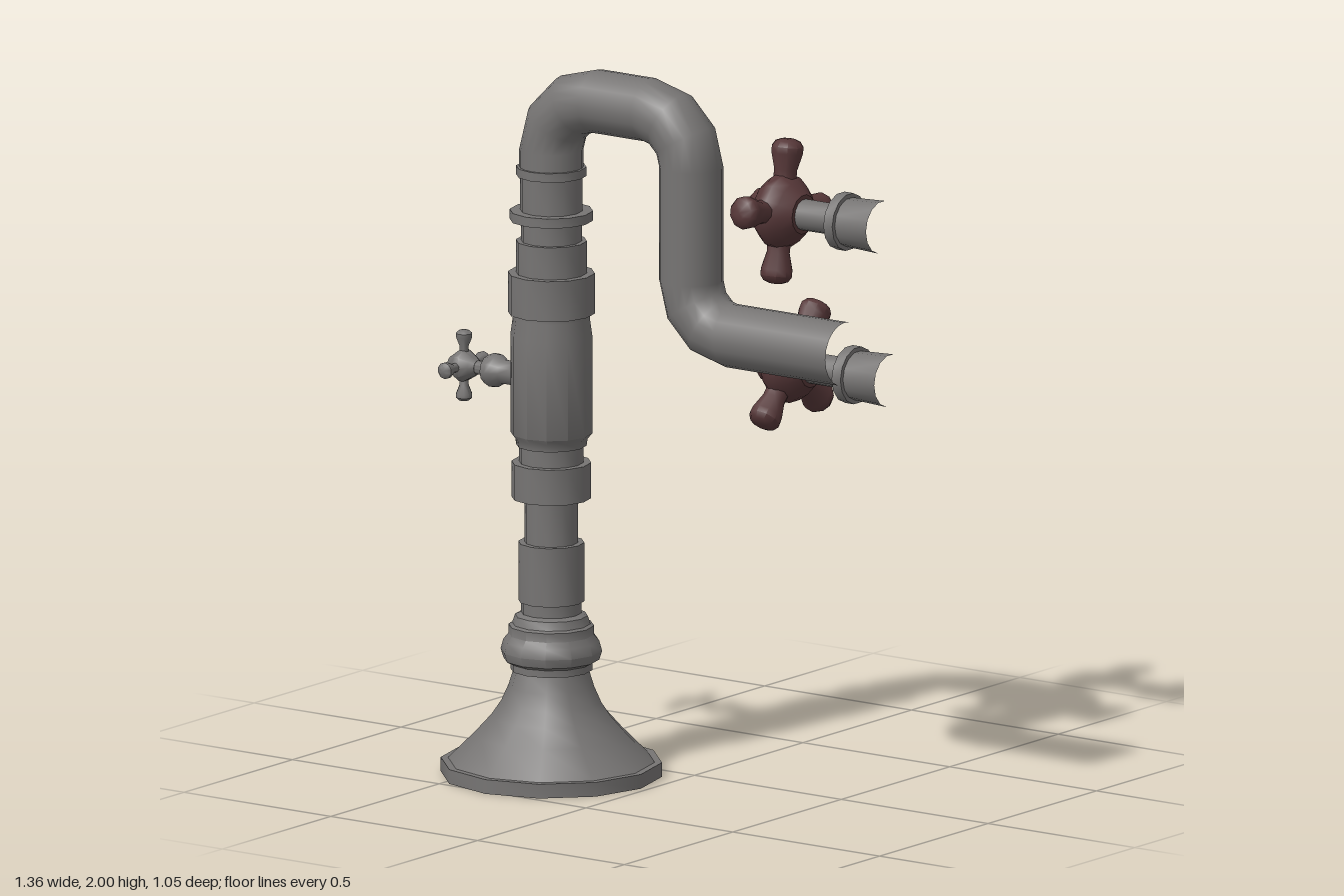
import * as THREE from 'three';
import { toCreasedNormals } from 'three/addons/utils/BufferGeometryUtils.js';

const iron = new THREE.MeshStandardMaterial({ color: 0x767473 });
iron.name = 'grey iron';
const red = new THREE.MeshStandardMaterial({ color: 0x563738 });
red.name = 'dark red';

// Turned part: profile is a list of [radius, height]
function turned(name, profile, sides, material) {
  const pts = profile.map(([r, h]) => new THREE.Vector2(r, h));
  const geo = toCreasedNormals(new THREE.LatheGeometry(pts, sides), 0.75);
  const mesh = new THREE.Mesh(geo, material);
  mesh.name = name;
  return mesh;
}

// Turned part lying along +x
function turnedX(name, profile, sides, material) {
  const mesh = turned(name, profile, sides, material);
  mesh.geometry.rotateZ(-Math.PI / 2);
  return mesh;
}

// Four knobbed arms around the x axis
function addArms(group, profile, tilt, x, material) {
  for (let i = 0; i < 4; i++) {
    const arm = turned('handleArm', profile, 10, material);
    arm.rotation.x = -tilt - i * Math.PI / 2;
    arm.position.x = x;
    group.add(arm);
  }
}

// Swan-neck pipe: straight runs joined by three-step quarter bends
function createSpout() {
  const stations = [];
  const add = (x, y, a) => stations.push({
    p: new THREE.Vector3(x, y, 0),
    t: new THREE.Vector3(Math.cos(a), Math.sin(a), 0),
  });
  // turn is +1 for anticlockwise, -1 for clockwise
  const bend = (cx, cy, r, from, turn) => {
    for (let i = 0; i <= 3; i++) {
      const a = from + turn * i * Math.PI / 6;
      add(cx + r * Math.cos(a), cy + r * Math.sin(a), a + turn * Math.PI / 2);
    }
  };
  add(-0.325, 1.69, Math.PI / 2);
  bend(-0.17, 1.757, 0.155, Math.PI, -1);
  bend(0.01, 1.77, 0.142, Math.PI / 2, -1);
  bend(0.29, 1.453, 0.138, Math.PI, 1);
  add(0.673, 1.315, 0);

  const path = new THREE.Curve();
  const n = stations.length - 1;
  const at = (u) => stations[Math.round(u * n)];
  path.getPointAt = (u) => at(u).p.clone();
  path.getTangentAt = (u) => at(u).t.clone();
  const spout = new THREE.Mesh(new THREE.TubeGeometry(path, n, 0.088, 20, false), iron);
  spout.name = 'spout';
  spout.position.z = 0.22;
  return spout;
}

// Red cross handle with a short stem and hose outlet
function createValve(y, z, tilt) {
  const valve = new THREE.Group();
  valve.name = 'valve';
  valve.add(turnedX('handleHub', [
    [0, -0.027], [0.045, -0.027], [0.056, -0.015], [0.058, 0], [0.085, 0.022],
    [0.105, 0.05], [0.105, 0.075], [0.085, 0.105], [0.055, 0.135], [0, 0.135],
  ], 14, red));
  addArms(valve, [
    [0.034, 0.07], [0.033, 0.115], [0.045, 0.16], [0.046, 0.178],
    [0.036, 0.193], [0.018, 0.2], [0, 0.201],
  ], tilt, 0.06, red);
  valve.add(turnedX('valveStem', [[0.043, 0.12], [0.043, 0.265]], 14, iron));
  valve.add(turnedX('outletCollar', [
    [0.043, 0.26], [0.08, 0.26], [0.08, 0.29], [0.05, 0.29],
  ], 14, iron));
  valve.add(turnedX('outlet', [[0.068, 0.29], [0.073, 0.4]], 14, iron));
  valve.position.set(0, y, z);
  return valve;
}

// Small side tap on the column
function createSideTap() {
  const tap = new THREE.Group();
  tap.name = 'sideTap';
  tap.add(turnedX('tapSpindle', [
    [0.018, -0.62], [0.02, -0.563], [0.04, -0.555], [0.048, -0.535],
    [0.046, -0.52], [0.034, -0.5], [0.034, -0.46], [0.044, -0.43], [0.044, -0.39],
  ], 12, iron));
  tap.add(turnedX('tapHub', [
    [0, -0.682], [0.02, -0.68], [0.028, -0.668], [0.045, -0.645],
    [0.045, -0.63], [0.03, -0.605], [0.02, -0.59], [0, -0.59],
  ], 10, iron));
  addArms(tap, [
    [0.013, 0.02], [0.013, 0.055], [0.023, 0.08], [0.023, 0.09], [0.014, 0.098], [0, 0.099],
  ], 0, -0.637, iron);
  tap.position.set(0, 1.103, 0.2);
  return tap;
}

export function createModel() {
  const model = new THREE.Group();
  model.name = 'standpipe';

  // Flared foot and stepped column
  const foot = turned('foot', [
    [0, 0], [0.305, 0], [0.305, 0.04], [0.285, 0.04], [0.21, 0.115], [0.165, 0.165],
    [0.138, 0.205], [0.118, 0.25], [0.104, 0.295],
  ], 12, iron);
  const neck = turned('neckMoulding', [
    [0.1, 0.295], [0.113, 0.295], [0.113, 0.315], [0.132, 0.325], [0.14, 0.35],
    [0.132, 0.378], [0.118, 0.395], [0.118, 0.42], [0.108, 0.425], [0.1, 0.448],
    [0.083, 0.455], [0.083, 0.49],
  ], 12, iron);
  const lower = turned('lowerColumn', [
    [0.08, 0.488], [0.091, 0.488], [0.091, 0.653], [0.074, 0.653], [0.074, 0.778],
    [0.11, 0.778], [0.11, 0.878], [0.089, 0.878], [0.089, 0.925], [0.097, 0.925],
  ], 12, iron);
  const body = turned('columnBody', [
    [0.097, 0.925], [0.1, 0.945], [0.113, 0.96], [0.113, 1.235], [0.106, 1.285],
    [0.106, 1.297], [0.12, 1.297], [0.12, 1.41], [0.098, 1.41], [0.098, 1.5],
    [0.084, 1.5], [0.084, 1.558],
  ], 12, iron);
  const rings = turned('upperRings', [
    [0.084, 1.558], [0.115, 1.558], [0.115, 1.585], [0.086, 1.585], [0.086, 1.683],
    [0.097, 1.683], [0.097, 1.708], [0.08, 1.708],
  ], 12, iron);
  for (const part of [foot, neck, lower, body, rings]) {
    part.position.set(-0.325, 0, 0.22);
    model.add(part);
  }

  model.add(createSpout(), createSideTap());
  model.add(createValve(1.535, -0.322, 0.15), createValve(1.097, -0.36, 0.73));
  return model;
}
